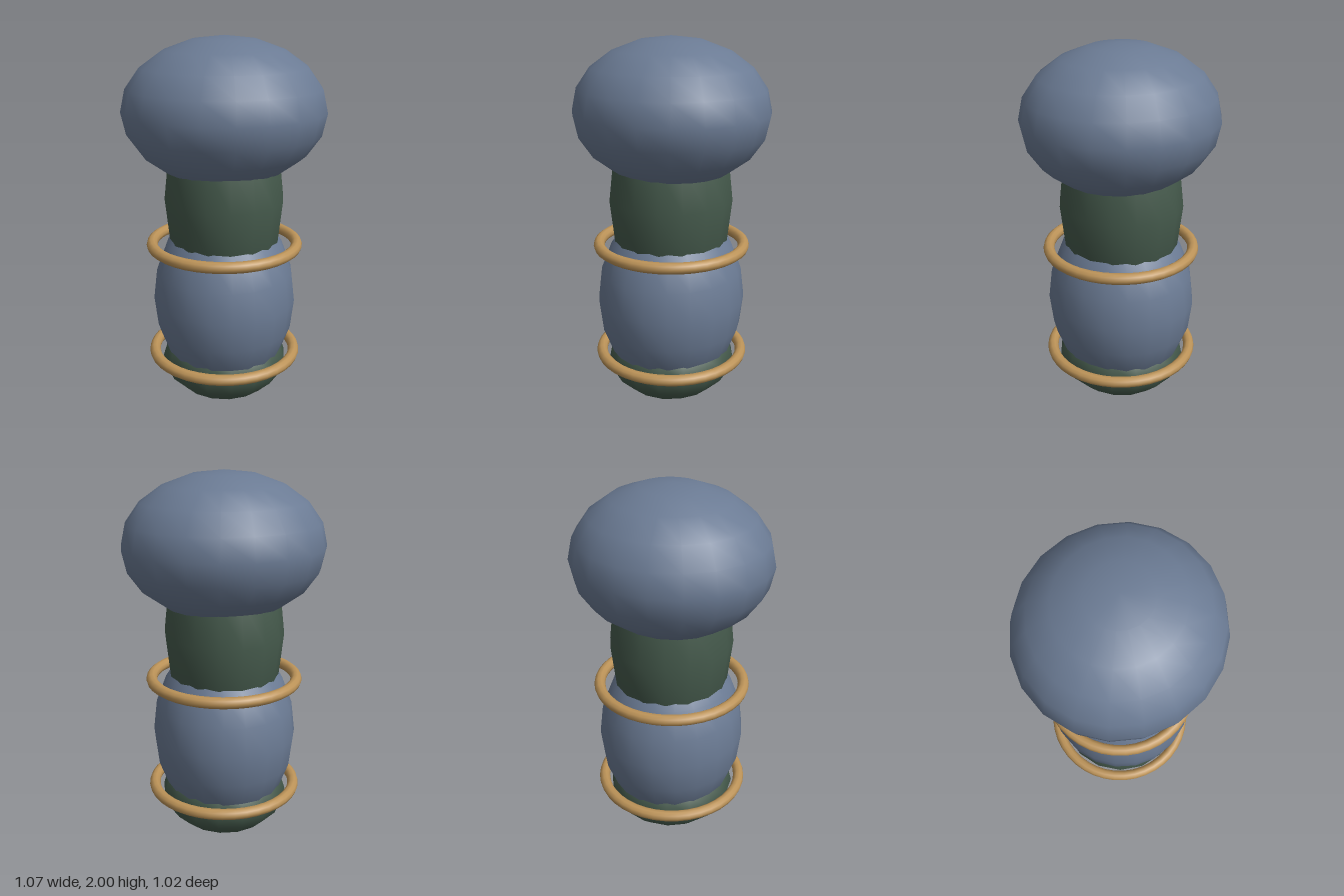
import * as THREE from 'three';

const material = (color) => new THREE.MeshStandardMaterial({ color });

export function createModel() {
  const model = new THREE.Group();
  const blue = material(0x6b7b94);
  const green = material(0x455a4c);
  const gold = material(0xbc9358);

  // Ellipsoid with half-sizes rx, ry, rz, centred at height y
  function ellipsoid(name, mat, segments, y, rx, ry, rz) {
    const geometry = new THREE.SphereGeometry(1, segments, segments / 2);
    geometry.scale(rx, ry, rz);
    const mesh = new THREE.Mesh(geometry, mat);
    mesh.name = name;
    mesh.position.y = y;
    model.add(mesh);
  }

  // Stacked rounded body
  ellipsoid('base', green, 16, 0.23, 0.347, 0.226, 0.357);
  ellipsoid('belly', blue, 20, 0.59, 0.39, 0.53, 0.41);
  ellipsoid('neck', green, 16, 1.155, 0.32, 0.59, 0.337);
  ellipsoid('head', blue, 20, 1.62, 0.535, 0.38, 0.51);

  // Loose horizontal rings around the belly
  for (const [name, y] of [['lowerRing', 0.27], ['upperRing', 0.9]]) {
    const ring = new THREE.Mesh(new THREE.TorusGeometry(0.393, 0.03, 10, 40), gold);
    ring.name = name;
    ring.rotation.x = Math.PI / 2;
    ring.position.y = y;
    model.add(ring);
  }

  return model;
}
